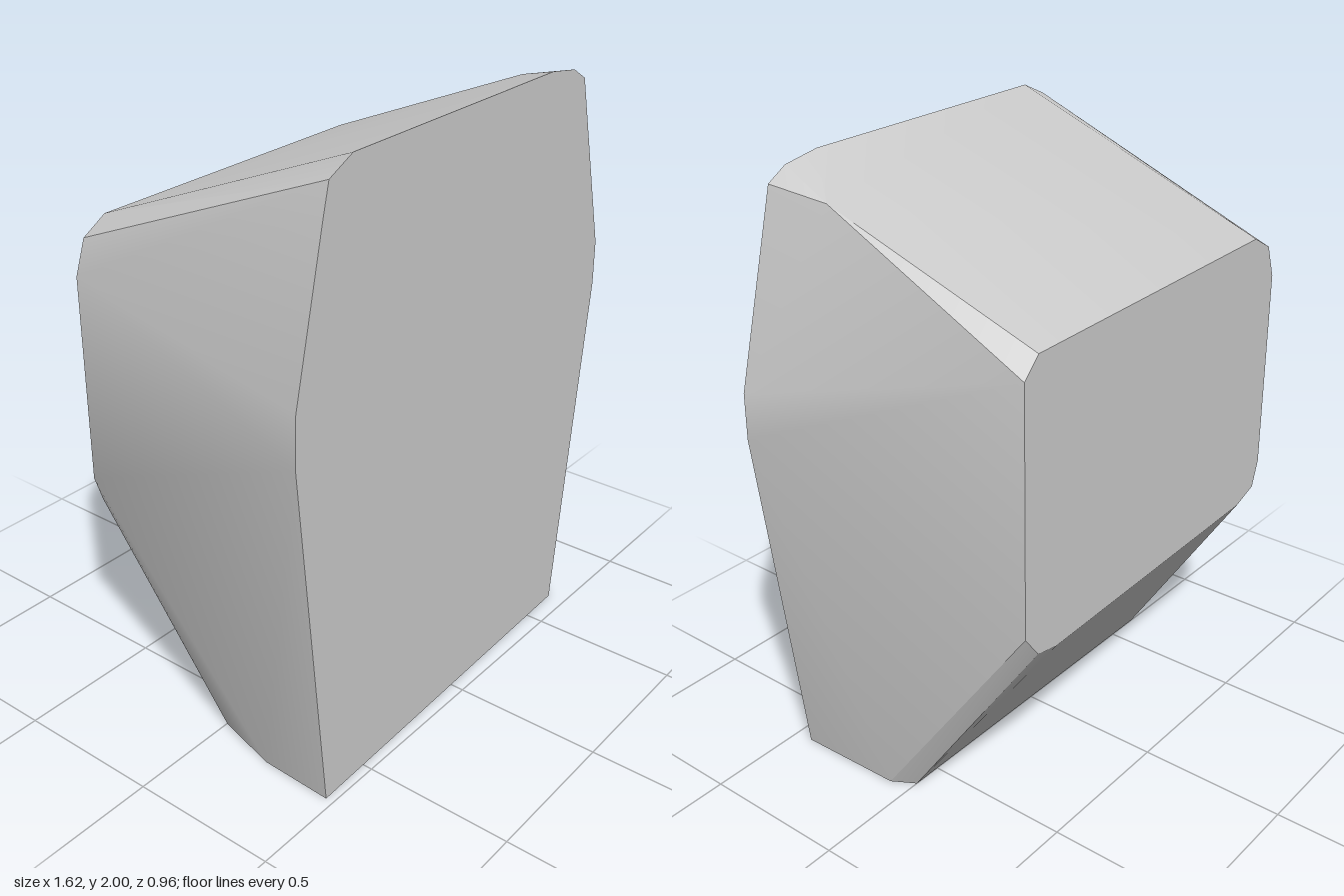
import * as THREE from 'three';
import { ConvexGeometry } from 'three/addons/geometries/ConvexGeometry.js';
import { toCreasedNormals } from 'three/addons/utils/BufferGeometryUtils.js';

export function createModel() {
  const group = new THREE.Group();
  group.name = 'facetedBlock';
  const grey = new THREE.MeshStandardMaterial({ color: 0xcccccc });
  grey.name = 'light grey';

  // Large front outline (x, y), counter-clockwise from bottom left
  const front = [
    [-0.69, 0], [0.655, 0], [0.805, 1.2], [0.803, 1.35], [0.64, 1.94], [0.57, 1.98], [0.44, 2],
    [-0.56, 2], [-0.66, 1.955], [-0.685, 1.86], [-0.805, 1.36], [-0.81, 1.2],
  ];
  // Smaller rounded back outline (x, y)
  const back = [
    [-0.58, 0.68], [0.48, 0.68], [0.57, 0.7], [0.63, 0.78], [0.632, 1.58], [0.57, 1.64],
    [-0.58, 1.64], [-0.67, 1.59], [-0.71, 1.48], [-0.71, 0.8], [-0.68, 0.71],
  ];
  // Rear edge of the flat base (x, z)
  const base = [[-0.68, 0.22], [-0.62, 0], [0.6, 0], [0.645, 0.075]];

  // Both end faces are turned slightly about the vertical axis
  const points = [
    ...front.map(([x, y]) => new THREE.Vector3(x, y, 0.454 - 0.027 * x)),
    ...back.map(([x, y]) => new THREE.Vector3(x, y, -0.4635 - 0.026 * x)),
    ...base.map(([x, z]) => new THREE.Vector3(x, 0, z)),
    new THREE.Vector3(0.625, 1.92, 0.22), // softened upper left edge
  ];

  const block = new THREE.Mesh(toCreasedNormals(new ConvexGeometry(points), 0.4), grey);
  block.name = 'block';
  group.add(block);
  return group;
}
